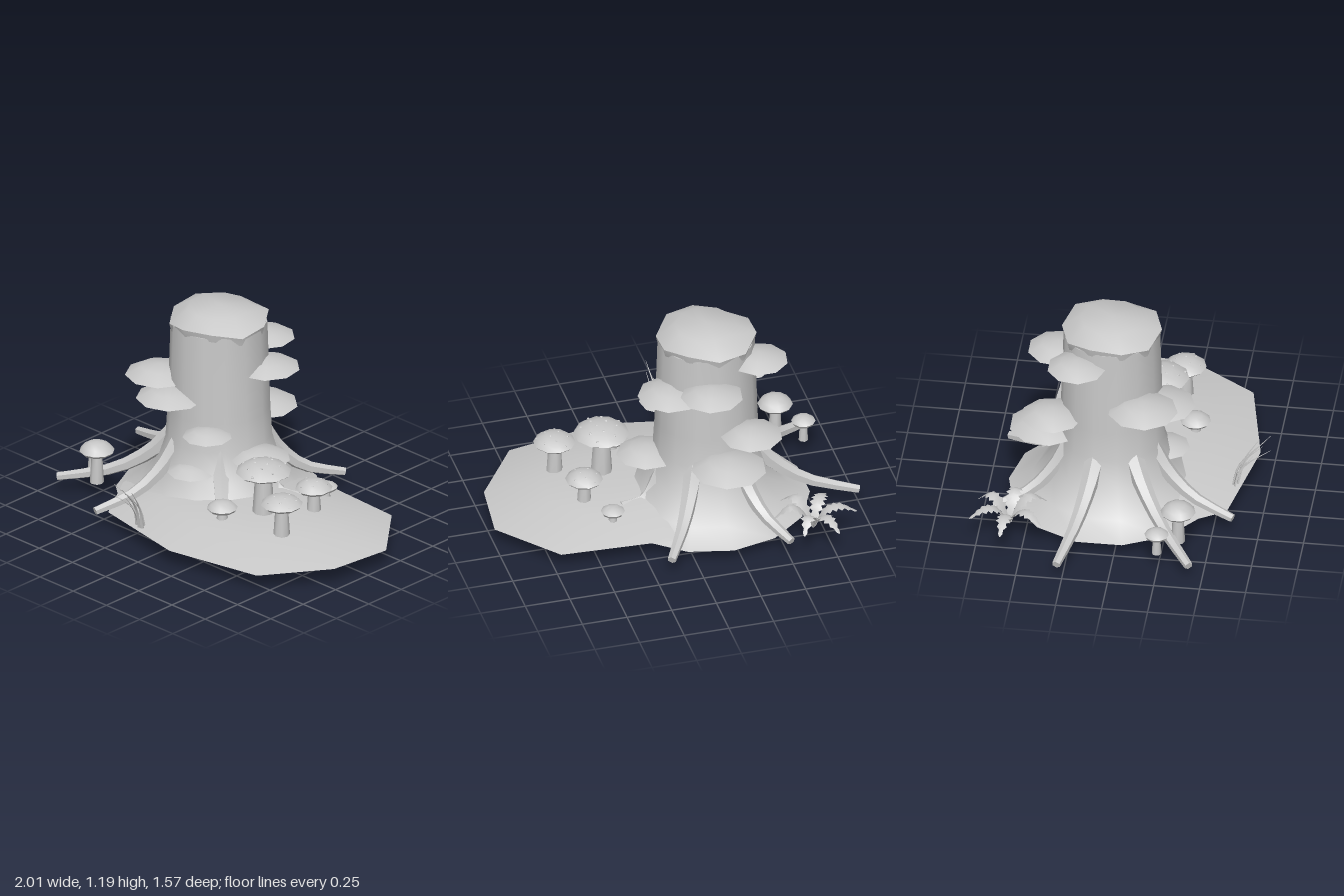
import * as THREE from 'three';
import { toCreasedNormals } from 'three/addons/utils/BufferGeometryUtils.js';

const V = (x, y, z) => new THREE.Vector3(x, y, z);
const CX = -0.2, CZ = -0.08; // trunk axis

// Skin a list of equal-length rings, closing both ends
function loft(rings) {
  const n = rings[0].length, pos = [], idx = [];
  rings.forEach(r => r.forEach(p => pos.push(p.x, p.y, p.z)));
  for (let i = 0; i < rings.length - 1; i++) {
    for (let j = 0; j < n; j++) {
      const a = i * n + j, b = i * n + (j + 1) % n;
      idx.push(a, b, a + n, b, b + n, a + n);
    }
  }
  [0, rings.length - 1].forEach((k, end) => {
    const c = rings[k].reduce((s, p) => s.add(p), V(0, 0, 0)).divideScalar(n);
    pos.push(c.x, c.y, c.z);
    const ci = pos.length / 3 - 1;
    for (let j = 0; j < n; j++) {
      const a = k * n + j, b = k * n + (j + 1) % n;
      if (end) idx.push(ci, a, b); else idx.push(ci, b, a);
    }
  });
  const g = new THREE.BufferGeometry();
  g.setAttribute('position', new THREE.Float32BufferAttribute(pos, 3));
  g.setIndex(idx);
  return g;
}

// Tapering branch along a curve; size(t) gives [half width, half height]
function branch(points, size, sides, steps) {
  const curve = new THREE.CatmullRomCurve3(points), rings = [];
  for (let i = 0; i <= steps; i++) {
    const t = i / steps, p = curve.getPoint(t), d = curve.getTangent(t);
    const s = V(0, 1, 0).cross(d).normalize(), u = d.clone().cross(s);
    const [w, h] = size(t), ring = [];
    for (let j = 0; j < sides; j++) {
      const a = (j + 0.5) / sides * Math.PI * 2;
      ring.push(p.clone().addScaledVector(s, Math.cos(a) * w).addScaledVector(u, Math.sin(a) * h));
    }
    rings.push(ring);
  }
  return loft(rings);
}

const lathe = (pts, sides) => new THREE.LatheGeometry(pts.map(p => new THREE.Vector2(...p)), sides);

export function createModel() {
  const model = new THREE.Group();
  const grey = new THREE.MeshStandardMaterial({ color: 0xc8c8c8, side: THREE.DoubleSide });
  grey.name = 'plain grey';
  const add = (name, geo, x = 0, y = 0, z = 0, parent = model, crease = 0.6) => {
    const m = new THREE.Mesh(toCreasedNormals(geo, crease), grey);
    m.name = name;
    m.position.set(x, y, z);
    parent.add(m);
    return m;
  };

  // Lens-shaped island of soil
  const rim = [[0.17, 0.68], [0.72, 0.57], [0.96, 0.22], [1, -0.14], [0.72, -0.47], [0.13, -0.5],
    [-0.42, -0.44], [-0.62, -0.12], [-0.6, 0.25], [-0.4, 0.57]];
  const levels = [[0.5, 0], [0.8, 0.045], [1, 0.1], [0.62, 0.175], [0.3, 0.198]];
  add('ground', loft(levels.map(([s, y]) =>
    rim.map(([x, z]) => V(0.15 + (x - 0.15) * s, y, 0.07 + (z - 0.07) * s)))), 0, 0, 0, model, 0.45);

  // Trunk flaring into a wide foot
  add('trunk', lathe([[0, 0.07], [0.56, 0.07], [0.43, 0.14], [0.335, 0.27], [0.288, 0.43],
    [0.278, 0.6], [0.262, 1.1], [0, 1.1]], 14), CX, 0, CZ, model, 0.7);

  // Domed top with a drooping, uneven edge
  const cap = lathe([[0.262, 1.07], [0.272, 1.115], [0.17, 1.178], [0, 1.192]], 10);
  const cp = cap.attributes.position;
  for (let i = 0; i < cp.count; i++) {
    const y = cp.getY(i), a = Math.atan2(cp.getX(i), cp.getZ(i));
    if (y < 1.12) cp.setY(i, y + 0.022 * Math.sin(3 * a + 0.5));
  }
  add('trunkTop', cap, CX, 0, CZ, model, 0.9);

  // Roots: tip position of each
  [[-1, 0.09, -0.28], [-0.92, 0.09, 0.43], [-0.46, 0.1, 0.61], [-0.51, 0.1, -0.68],
    [0.16, 0.1, -0.68], [0.22, 0.17, 0.32], [0.31, 0.17, -0.2]].forEach(([x, y, z]) => {
    const len = Math.hypot(x - CX, z - CZ), dx = (x - CX) / len, dz = (z - CZ) / len;
    const at = (r, h) => V(CX + dx * r, h, CZ + dz * r);
    const span = len - 0.23;
    const path = [at(0.23, 0.43), at(0.23 + span * 0.2, 0.29), at(0.23 + span * 0.52, 0.165), at(len, y)];
    add('root', branch(path, t => [0.06 - 0.036 * t, 0.055 - 0.032 * t], 6, 7));
  });

  // Shelf fungi: x, y, z, radius
  [[-0.45, 1.01, -0.24, 0.16], [0.035, 0.85, -0.21, 0.18], [-0.45, 0.76, 0.12, 0.19],
    [-0.295, 0.7, 0.2, 0.187], [-0.035, 0.545, 0.18, 0.135], [0.125, 0.39, -0.06, 0.168],
    [-0.13, 0.31, 0.2, 0.135], [-0.15, 0.915, -0.375, 0.17], [-0.37, 0.625, -0.385, 0.168],
    [-0.23, 0.465, -0.43, 0.205]].forEach(([x, y, z, r], i) => {
    const k = r / 0.18;
    const disc = lathe([[0, -0.05 * k], [0.45 * r, -0.045 * k], [r, 0], [0.55 * r, 0.042 * k], [0, 0.055 * k]], 9);
    add('shelfFungus', disc, x, y, z, model, 0.5).rotation.y = i * 0.7;
  });

  // Toadstools: x, z, cap radius, rim height, cap top, foot, spots
  [[0.33, 0.12, 0.152, 0.43, 0.493, 0.18, 12], [0.565, 0.22, 0.115, 0.35, 0.402, 0.16, 9],
    [0.49, -0.105, 0.102, 0.308, 0.362, 0.16, 8], [0.385, -0.305, 0.065, 0.21, 0.243, 0.14, 4],
    [0.215, 0.32, 0.084, 0.243, 0.29, 0.16, 0], [-0.705, 0.345, 0.096, 0.283, 0.343, 0.1, 0],
    [-0.835, 0.245, 0.066, 0.215, 0.252, 0.1, 0]].forEach(([x, z, r, y0, y1, foot, spots]) => {
    const shroom = new THREE.Group(), h = y1 - y0;
    shroom.name = 'toadstool';
    shroom.position.set(x, 0, z);
    model.add(shroom);
    add('toadstoolCap', lathe([[0, y0 - 0.006], [0.85 * r, y0 - 0.008], [r, y0 + 0.008],
      [0.78 * r, y0 + 0.6 * h], [0.42 * r, y0 + 0.92 * h], [0, y1]], 10), 0, 0, 0, shroom, 0.7);
    add('toadstoolStem', new THREE.CylinderGeometry(r * 0.29, r * 0.4, y0 - foot, 8),
      0, (y0 + foot) / 2, 0, shroom, 0.9);
    for (let i = 0; i < spots; i++) {
      const q = 0.9 * Math.sqrt((i + 0.5) / spots), a = i * 2.4;
      const y = q < 0.42 ? y1 - 0.08 * h * q / 0.42
        : q < 0.78 ? y0 + h * (0.92 - 0.32 * (q - 0.42) / 0.36) : y0 + h * (0.6 - 2 * (q - 0.78));
      const spot = add('spot', new THREE.SphereGeometry(r * 0.055, 6, 4),
        Math.cos(a) * q * r * 0.97, y, Math.sin(a) * q * r * 0.97, shroom, 1.2);
      spot.scale.y = 0.6;
    }
  });

  // Fern: arched fronds with saw-toothed edges
  [[-0.75, -0.785], [-0.56, -0.76], [-0.9, -0.6], [-0.45, -0.55], [-0.78, -0.39], [-0.53, -0.39]].forEach(([tx, tz], k) => {
    const bx = -0.66, bz = -0.58, len = Math.hypot(tx - bx, tz - bz);
    const dx = (tx - bx) / len, dz = (tz - bz) / len, n = 16;
    const g = new THREE.PlaneGeometry(1, 1, 2, n), p = g.attributes.position;
    const arc = new THREE.CatmullRomCurve3([V(0, 0.1, 0), V(0.25, 0.2, 0),
      V(0.6, 0.225 + 0.02 * (k % 2), 0), V(1, 0.175, 0)]);
    for (let i = 0; i < p.count; i++) {
      const side = p.getX(i) * 2, t = p.getY(i) + 0.5, c = arc.getPoint(t);
      const tooth = Math.round(t * n) % 2 ? 1 : 0.55;
      const w = side * tooth * 0.045 * Math.min(1, 0.15 + t * 2.2, (1.05 - t) * 2.5);
      p.setXYZ(i, bx + dx * c.x * len - dz * w, c.y - Math.abs(w) * 0.25, bz + dz * c.x * len + dx * w);
    }
    add('fernFrond', g);
  });

  // Grass tuft leaning forward: base x, tip x, tip height, tip z
  [[-0.16, -0.195, 0.4, 0.74], [-0.15, -0.17, 0.36, 0.78], [-0.14, -0.1, 0.405, 0.77],
    [-0.13, -0.12, 0.34, 0.7], [-0.17, -0.155, 0.3, 0.68], [-0.12, -0.085, 0.37, 0.71]].forEach(([x0, x1, y, z], i) => {
    const z0 = 0.57 + 0.012 * (i % 3);
    const path = [V(x0, 0.1, z0), V(x0 * 0.7 + x1 * 0.3, 0.1 + (y - 0.1) * 0.5, z0 + (z - z0) * 0.25), V(x1, y, z)];
    add('grassBlade', branch(path, t => [0.011 * (1 - t) + 0.001, 0.006 * (1 - t) + 0.001], 4, 6));
  });

  return model;
}
